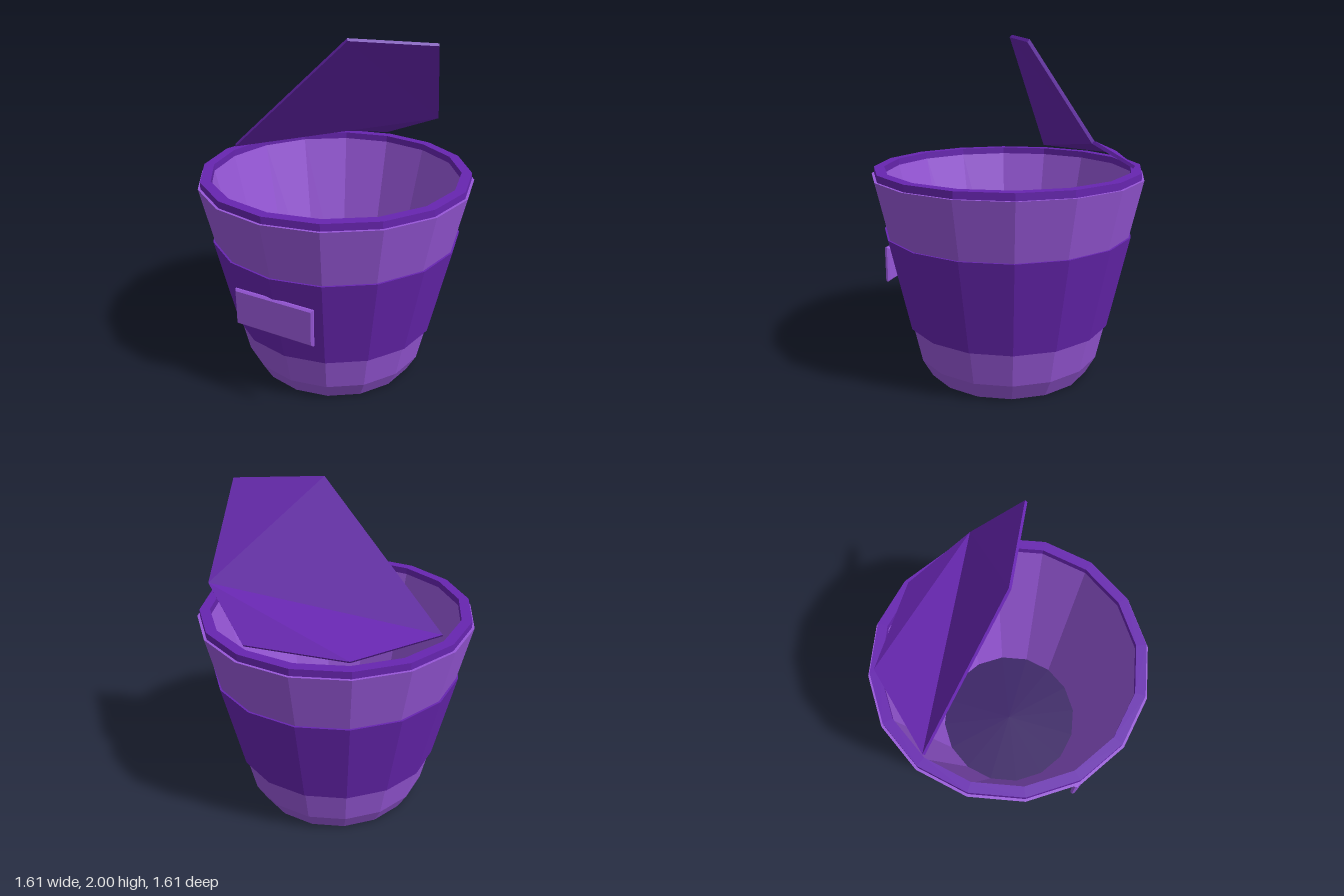
import * as THREE from 'three';

const SIDES = 16;

export function createModel() {
  const model = new THREE.Group();
  const lilac = new THREE.MeshStandardMaterial({ color: 0x9757d8 });
  lilac.name = 'lilac';
  const purple = new THREE.MeshStandardMaterial({ color: 0x6725b0 });
  purple.name = 'purple';
  const deepPurple = new THREE.MeshStandardMaterial({ color: 0x321062 });
  deepPurple.name = 'deepPurple';

  // Adds a mesh with faceted normals
  const add = (name, geometry, material) => {
    const flat = geometry.index ? geometry.toNonIndexed() : geometry;
    flat.computeVertexNormals();
    const mesh = new THREE.Mesh(flat, material);
    mesh.name = name;
    model.add(mesh);
    return mesh;
  };
  const lathe = (points) =>
    new THREE.LatheGeometry(points.map(([r, y]) => new THREE.Vector2(r, y)), SIDES);

  // Tub: underside, chamfered foot, outer wall, top edge, inner wall
  add('tub', lathe([
    [0, 0], [0.5, 0], [0.56, 0.11], [0.805, 1.21], [0.73, 1.21], [0.47, 0.08],
  ]), lilac);

  // Inside floor
  add('floor', lathe([[0.472, 0.08], [0, 0.08]]), deepPurple);

  // Band wrapped around the middle
  add('band', lathe([
    [0.6, 0.32], [0.62, 0.32], [0.742, 0.875], [0.725, 0.875],
  ]), purple);

  // Rim ring
  add('rim', lathe([
    [0.73, 1.205], [0.79, 1.205], [0.79, 1.25], [0.73, 1.25], [0.73, 1.205],
  ]), purple);

  // Front plate with a small bevel
  const w = 0.235, h = 0.1;
  const outline = new THREE.Shape([
    new THREE.Vector2(-w, -h), new THREE.Vector2(w, -h),
    new THREE.Vector2(w, h), new THREE.Vector2(-w, h),
  ]);
  const plate = add('frontPlate', new THREE.ExtrudeGeometry(outline, {
    depth: 0.01, bevelEnabled: true, bevelThickness: 0.01, bevelSize: 0.01, bevelSegments: 1,
  }), lilac);
  plate.position.set(0, 0.628, 0.7);

  // Peeled lid: a flat rear part and a flap folded up along the line from corner 0 to corner 3
  const corners = [
    [-0.72, 1.275, 0], [0.055, 1.985, -0.03], [0.495, 1.955, -0.28],
    [0.405, 1.46, -0.595], [0, 1.275, -0.74], [-0.525, 1.275, -0.53],
  ];
  const count = corners.length;
  const offset = [-0.007, 0.014, -0.01];
  const upper = corners.map((p) => p.map((v, k) => v + offset[k]));
  const index = [];
  for (const [a, b, c] of [[0, 3, 1], [1, 3, 2], [0, 5, 3], [5, 4, 3]]) {
    index.push(a, b, c); // underside
    index.push(a + count, c + count, b + count); // top
  }
  for (let i = 0; i < count; i++) {
    const j = (i + 1) % count;
    index.push(i, j, j + count, i, j + count, i + count);
  }
  // The corner loop runs clockwise from below, so swap every triangle when needed
  const lid = new THREE.BufferGeometry();
  lid.setAttribute('position', new THREE.Float32BufferAttribute([...corners, ...upper].flat(), 3));
  const a = new THREE.Vector3(), b = new THREE.Vector3(), c = new THREE.Vector3();
  const centre = new THREE.Vector3();
  const pos = lid.attributes.position;
  const thick = new THREE.Vector3(...offset);
  for (let t = 0; t < index.length; t += 3) {
    a.fromBufferAttribute(pos, index[t]);
    b.fromBufferAttribute(pos, index[t + 1]);
    c.fromBufferAttribute(pos, index[t + 2]);
    const normal = b.clone().sub(a).cross(c.clone().sub(a));
    const tri = index.slice(t, t + 3);
    const isTop = tri.every((i) => i >= count), isUnder = tri.every((i) => i < count);
    centre.set(-0.06, 1.57, -0.36);
    const out = isTop ? thick.clone() : isUnder ? thick.clone().negate()
      : a.clone().add(b).add(c).divideScalar(3).sub(centre);
    if (normal.dot(out) < 0) [index[t + 1], index[t + 2]] = [index[t + 2], index[t + 1]];
  }
  lid.setIndex(index);
  add('lid', lid, purple);

  return model;
}
